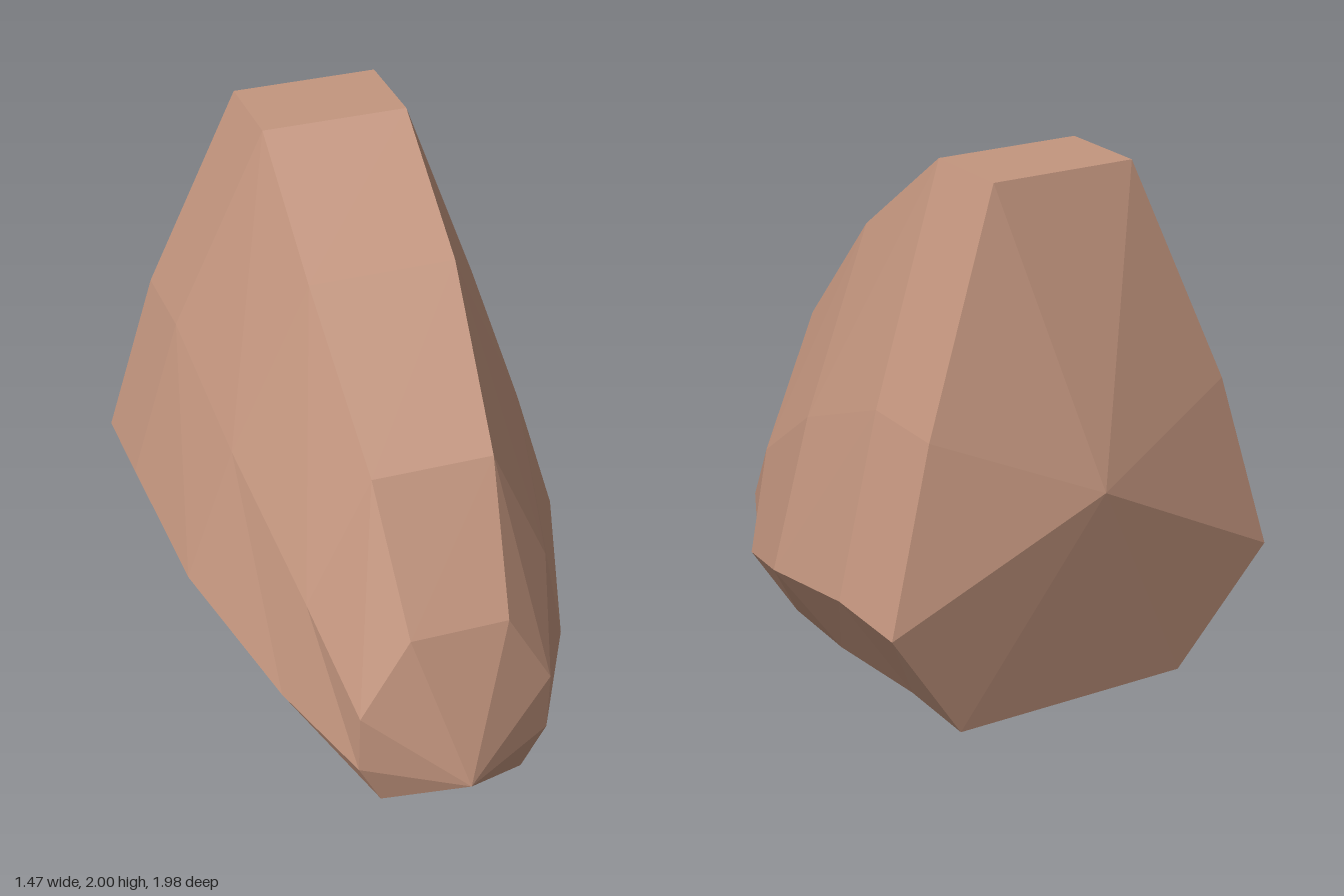
import * as THREE from 'three';

const clay = new THREE.MeshStandardMaterial({ color: 0xc4967f, flatShading: true });
clay.name = 'clay brown';

// Left half of each cross-section, front to back: top, shoulder, widest, bottom corner.
const sections = [
  [[0.175, 0.70, 0.855], [0.345, 0.40, 0.835], [0.345, 0.17, 0.82], [0.26, 0.005, 0.805]],
  [[0.215, 1.18, 0.585], [0.435, 0.70, 0.55], [0.52, 0.32, 0.525], [0.35, 0.05, 0.50]],
  [[0.26, 1.655, 0.095], [0.53, 1.02, 0.04], [0.695, 0.50, 0.0], [0.435, 0.135, 0.0]],
  [[0.26, 2.0, -0.385], [0.565, 1.235, -0.50], [0.735, 0.615, -0.545], [0.435, 0.18, -0.50]],
  [[0.26, 2.0, -0.715], [0.565, 1.235, -0.835], [0.735, 0.615, -0.89], [0.438, 0.18, -0.82]],
];

// Full ring of eight corners, counter-clockwise seen from the front.
const rings = sections.map(half => {
  const mirrored = half.map(([x, y, z]) => [-x, y, z]);
  return [half[0], ...mirrored, half[3], half[2], half[1]];
});

function facetMesh(name, triangles) {
  const geometry = new THREE.BufferGeometry();
  geometry.setAttribute('position', new THREE.Float32BufferAttribute(triangles.flat(2), 3));
  geometry.computeVertexNormals();
  const mesh = new THREE.Mesh(geometry, clay);
  mesh.name = name;
  return mesh;
}

// Lengthwise strip of panels between ring corners i and i + 1.
function strip(i) {
  const j = (i + 1) % 8, triangles = [];
  for (let k = 0; k < rings.length - 1; k++) {
    const a = rings[k], b = rings[k + 1];
    // Mirror the diagonal so both flanks match.
    if (i < 4) triangles.push([a[j], a[i], b[i]], [a[j], b[i], b[j]]);
    else triangles.push([a[j], a[i], b[j]], [a[i], b[i], b[j]]);
  }
  return triangles;
}

// Fan of facets closing one end.
function cap(ring, apex, front) {
  return ring.map((p, i) => {
    const q = ring[(i + 1) % 8];
    return front ? [apex, p, q] : [apex, q, p];
  });
}

export function createModel() {
  const group = new THREE.Group();
  group.name = 'facetedShell';

  // Body panels
  group.add(
    facetMesh('topRidge', strip(0)),
    facetMesh('rightFlank', [1, 2, 3].flatMap(strip)),
    facetMesh('underside', strip(4)),
    facetMesh('leftFlank', [5, 6, 7].flatMap(strip)),
    facetMesh('frontPoint', cap(rings[0], [0, 0.135, 0.99], true)),
    facetMesh('backPoint', cap(rings[4], [0, 1.0, -0.99], false)),
  );

  // Small diamond pads lying on the sloping underside
  for (const side of [-1, 1]) {
    const pad = new THREE.Mesh(new THREE.CylinderGeometry(0.144, 0.144, 0.009, 4), clay);
    pad.name = side > 0 ? 'leftPad' : 'rightPad';
    pad.position.set(side * 0.215, 0.09, 0.25);
    pad.rotation.x = Math.atan(0.17);
    group.add(pad);
  }
  return group;
}
